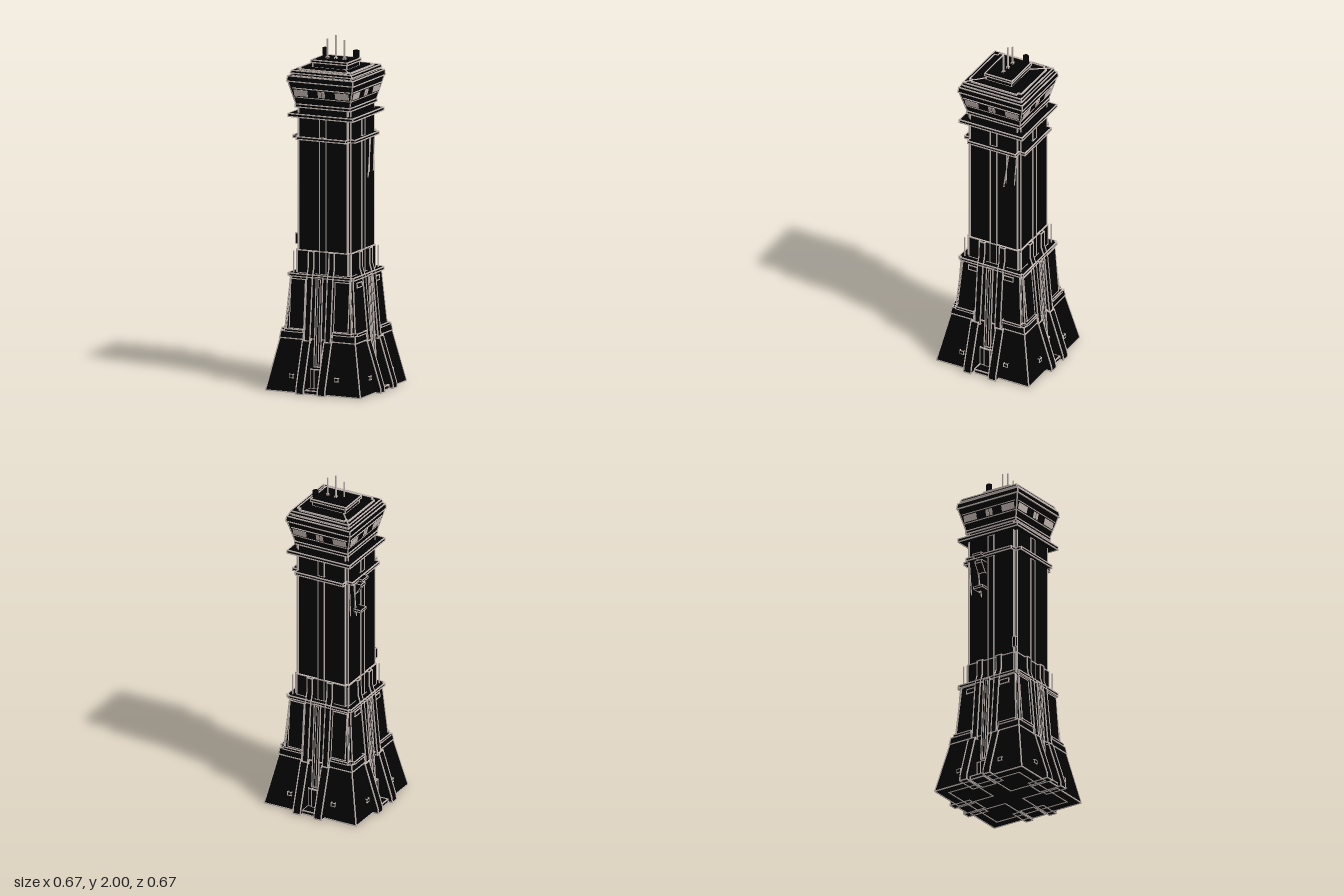
import * as THREE from 'three';
import { mergeGeometries } from 'three/addons/utils/BufferGeometryUtils.js';

const black = new THREE.MeshStandardMaterial({ color: 0x030303, name: 'black cladding' });
const grey = new THREE.MeshStandardMaterial({ color: 0xcabfb9, name: 'grey edging' });
const pale = new THREE.MeshStandardMaterial({ color: 0xcec2bc, name: 'pale glazing' });

// Thin square bar between two points
function bar(a, b, t) {
  const g = new THREE.BoxGeometry(t, a.distanceTo(b) + t, t);
  const dir = b.clone().sub(a).normalize();
  g.applyQuaternion(new THREE.Quaternion().setFromUnitVectors(new THREE.Vector3(0, 1, 0), dir));
  const m = a.clone().add(b).multiplyScalar(0.5);
  return g.translate(m.x, m.y, m.z);
}

// Black solid with a grey bar along each sharp edge
function edged(parent, name, geometry, t = 0.006) {
  const group = new THREE.Group();
  group.name = name;
  const p = new THREE.EdgesGeometry(geometry, 20).attributes.position;
  const bars = [];
  for (let i = 0; i < p.count; i += 2) {
    const a = new THREE.Vector3().fromBufferAttribute(p, i);
    const b = new THREE.Vector3().fromBufferAttribute(p, i + 1);
    bars.push(bar(a, b, t));
  }
  const body = new THREE.Mesh(geometry, black);
  body.name = name + 'Body';
  const edges = new THREE.Mesh(mergeGeometries(bars), grey);
  edges.name = name + 'Edging';
  group.add(body, edges);
  parent.add(group);
}

function plain(parent, name, geometry, material) {
  const mesh = new THREE.Mesh(geometry, material);
  mesh.name = name;
  parent.add(mesh);
}

const box = (w, h, d, x, y, z) => new THREE.BoxGeometry(w, h, d).translate(x, y, z);

// Square block tapering from half width r0 at y0 to r1 at y1;
// with inner set, only the +x +z corner piece outside that distance
function taper(r0, r1, y0, y1, inner) {
  const g = new THREE.BoxGeometry(2, y1 - y0, 2);
  const p = g.attributes.position;
  for (let i = 0; i < p.count; i++) {
    const r = p.getY(i) < 0 ? r0 : r1;
    const place = (v) => (v < 0 && inner !== undefined ? inner : v * r);
    p.setXYZ(i, place(p.getX(i)), p.getY(i) + (y0 + y1) / 2, place(p.getZ(i)));
  }
  g.computeVertexNormals();
  return g;
}

// Square block with a notch of size n cut from each corner, tapering from r0 to r1
function notched(r0, r1, n, y0, y1) {
  const r = r0, q = r0 - n;
  const corners = [[r, -q], [r, q], [q, q], [q, r], [-q, r], [-q, q], [-r, q], [-r, -q], [-q, -q], [-q, -r], [q, -r], [q, -q]];
  const shape = new THREE.Shape(corners.map(([x, y]) => new THREE.Vector2(x, y)));
  const g = new THREE.ExtrudeGeometry(shape, { depth: y1 - y0, bevelEnabled: false });
  const p = g.attributes.position;
  for (let i = 0; i < p.count; i++) {
    const s = p.getZ(i) > 0 ? r1 / r0 : 1;
    p.setXY(i, p.getX(i) * s, p.getY(i) * s);
  }
  g.computeVertexNormals();
  return g.rotateX(-Math.PI / 2).translate(0, y0, 0);
}

// Side profile of [outward z, y] points, extruded across x
function fin(points, width, x) {
  const shape = new THREE.Shape(points.map(([z, y]) => new THREE.Vector2(z, y)));
  const g = new THREE.ExtrudeGeometry(shape, { depth: width, bevelEnabled: false });
  return g.rotateY(-Math.PI / 2).translate(x + width / 2, 0, 0);
}

export function createModel() {
  const tower = new THREE.Group();
  tower.name = 'tower';

  // Stacked square storeys: name, lower half width, upper half width, bottom, top
  const storeys = [
    ['baseCore', 0.238, 0.226, 0, 0.3],
    ['upperLedge', 0.201, 0.201, 1.553, 1.57],
    ['cabSill', 0.17, 0.17, 1.605, 1.622],
    ['cab', 0.168, 0.202, 1.622, 1.755],
    ['cabCrown', 0.206, 0.203, 1.755, 1.785],
    ['roofGap', 0.18, 0.18, 1.785, 1.8],
    ['roof', 0.192, 0.186, 1.8, 1.815],
  ];
  for (const [name, r0, r1, y0, y1] of storeys) edged(tower, name, taper(r0, r1, y0, y1));

  // Storeys with notched corners: name, lower and upper half width, notch, bottom, top
  const notchedStoreys = [
    ['lowerStorey', 0.222, 0.194, 0.016, 0.3, 0.645],
    ['lowerLedge', 0.205, 0.205, 0.012, 0.645, 0.66],
    ['shaftFoot', 0.17, 0.17, 0.014, 0.66, 0.79],
    ['shaft', 0.164, 0.164, 0.014, 0.79, 1.605],
    ['middleLedge', 0.193, 0.193, 0.04, 1.425, 1.44],
    ['roofDeck', 0.165, 0.165, 0.02, 1.815, 1.822],
  ];
  for (const [name, ...size] of notchedStoreys) edged(tower, name, notched(...size));

  // Details repeated on the four faces
  const tilt = Math.atan2(0.034, 0.133);
  for (let k = 0; k < 4; k++) {
    const face = new THREE.Group();
    face.name = 'face' + k;
    face.rotation.y = k * Math.PI / 2;
    tower.add(face);

    // Corner bastion of the base and its cap
    edged(face, 'bastion', taper(0.295, 0.234, 0, 0.295, 0.06));
    edged(face, 'bastionCap', taper(0.236, 0.23, 0.295, 0.335, 0.09));

    // Recessed bay with sill, step and the long central channel
    edged(face, 'baySill', box(0.09, 0.02, 0.12, 0, 0.01, 0.248));
    edged(face, 'bayStep', box(0.09, 0.11, 0.04, 0, 0.075, 0.222));
    edged(face, 'bayPost', box(0.036, 0.11, 0.02, 0, 0.075, 0.236), 0.005);
    edged(face, 'channel', fin([[0.15, 0.145], [0.241, 0.145], [0.212, 0.65], [0.15, 0.65]], 0.04, 0));
    edged(face, 'channelRib', fin([[0.15, 0.15], [0.243, 0.15], [0.214, 0.64], [0.15, 0.64]], 0.014, 0), 0.004);

    // Ribs along the shaft
    edged(face, 'centreRib', box(0.04, 0.765, 0.02, 0, 1.0425, 0.159));
    edged(face, 'upperRib', box(0.04, 0.113, 0.02, 0, 1.4965, 0.159));

    // Buttresses stand a little further apart on the two sides
    const onSide = k % 2 === 1;
    const footX = onSide ? 0.079 : 0.067;
    for (const s of [-1, 1]) {
      edged(face, 'buttress', fin([[0.2, 0], [0.33, 0], [0.327, 0.03], [0.244, 0.29], [0.2, 0.3]], 0.046, s * footX));
      edged(face, 'buttressFin', fin([[0.14, 0.28], [0.24, 0.28], [0.207, 0.64], [0.188, 0.7], [0.186, 0.79], [0.14, 0.79]], 0.034, s * 0.064));
      // Wall panels front and back, vents on the sides, with a shelf below
      const panel = new THREE.Group();
      panel.name = onSide ? 'wallVent' : 'wallPanel';
      panel.position.set(s * 0.138, 0.49, 0.207);
      panel.rotation.x = -Math.atan2(0.028, 0.345);
      face.add(panel);
      if (onSide) edged(panel, 'vent', box(0.06, 0.026, 0.008, -s * 0.026, 0.12, 0), 0.005);
      else edged(panel, 'panel', box(0.09, 0.28, 0.008, 0, 0, 0), 0.005);
      edged(face, 'panelShelf', box(0.115, 0.014, 0.03, s * 0.15, 0.34, 0.22), 0.005);
      // Lamp on the base wall
      edged(face, 'baseLamp', box(0.024, 0.02, 0.014, s * 0.14, 0.09, 0.278), 0.004);
    }

    // Cab glazing, following the outward slope
    const glazing = new THREE.Group();
    glazing.name = 'cabGlazing';
    glazing.position.set(0, 1.69, 0.1855);
    glazing.rotation.x = tilt;
    face.add(glazing);
    plain(glazing, 'windowBand', box(0.35, 0.05, 0.005, 0, 0, 0), black);
    for (const s of [-1, 1]) {
      plain(glazing, 'outerWindow', box(0.085, 0.038, 0.008, s * 0.128, 0, 0), pale);
      plain(glazing, 'innerWindow', box(0.02, 0.038, 0.008, s * 0.012, 0, 0), pale);
      plain(glazing, 'windowRail', box(0.36, 0.005, 0.008, 0, s * 0.027, 0), grey);
    }

    // Corner pole standing on the lower ledge
    plain(face, 'cornerPole', box(0.006, 0.13, 0.006, 0.178, 0.72, 0.178), grey);
  }

  // Rooftop hut, antennas and beacons
  edged(tower, 'hutFoot', box(0.21, 0.03, 0.16, 0, 1.835, 0));
  edged(tower, 'hutRoof', box(0.226, 0.014, 0.175, 0, 1.856, 0));
  for (const s of [-1, 1]) {
    const outer = new THREE.Vector3(s * 0.184, 1.817, s * 0.184);
    const inner = new THREE.Vector3(s * 0.1, 1.826, s * 0.09);
    plain(tower, 'roofHip', bar(outer, inner, 0.006), grey);
    plain(tower, 'beacon', new THREE.CylinderGeometry(0.017, 0.017, 0.04, 12).translate(s * 0.096, 1.89, -0.062), black);
    plain(tower, 'beaconFoot', box(0.02, 0.014, 0.02, s * 0.096, 1.868, -0.062), black);
  }
  for (const [x, top] of [[-0.053, 1.975], [0, 2], [0.053, 1.975]]) {
    edged(tower, 'antennaFoot', box(0.012, 0.01, 0.012, x, 1.867, 0), 0.003);
    plain(tower, 'antenna', box(0.007, top - 1.86, 0.007, x, (top + 1.86) / 2, 0), grey);
  }

  // Equipment on the right wall
  edged(tower, 'equipmentShelf', box(0.06, 0.012, 0.06, -0.192, 1.432, -0.06), 0.004);
  const bracket = fin([[0.16, 1.33], [0.172, 1.335], [0.206, 1.385], [0.206, 1.4], [0.16, 1.4]], 0.045, -0.06);
  edged(tower, 'bracket', bracket.rotateY(-Math.PI / 2), 0.004);
  edged(tower, 'lowerShelf', box(0.048, 0.012, 0.06, -0.186, 1.235, -0.06), 0.004);
  edged(tower, 'wallBox', box(0.014, 0.06, 0.02, -0.163, 0.855, 0.158), 0.004);

  // Slack cables on the side walls
  for (const s of [-1, 1]) {
    for (const [z0, z1, low] of [[-0.1, -0.065, 1.19], [-0.085, -0.08, 1.22], [-0.148, -0.133, 1.22]]) {
      const a = new THREE.Vector3(s * 0.168, 1.425, z0);
      const b = new THREE.Vector3(s * 0.168, low, z1);
      plain(tower, 'cable', bar(a, b, 0.005), grey);
    }
  }
  return tower;
}
